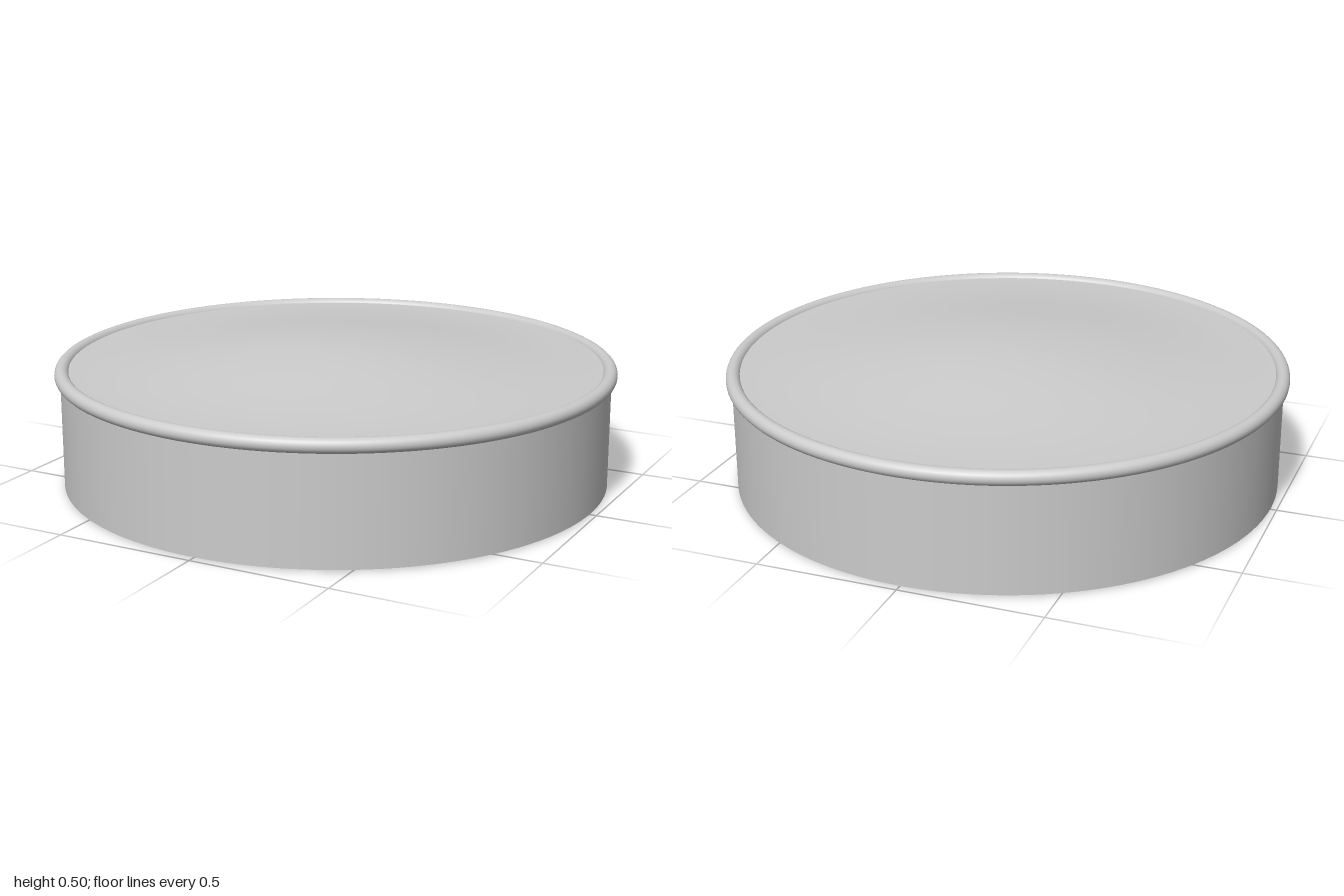
import * as THREE from 'three';

const SEGMENTS = 128;

export function createModel() {
  const group = new THREE.Group();
  const material = new THREE.MeshStandardMaterial({ color: 0xcccccc, side: THREE.DoubleSide });
  const add = (name, geometry, y = 0) => {
    const mesh = new THREE.Mesh(geometry, material);
    mesh.name = name;
    mesh.position.y = y;
    group.add(mesh);
    return mesh;
  };

  // Straight cylindrical side wall
  add('sideWall', new THREE.CylinderGeometry(0.98, 0.98, 0.405, SEGMENTS, 1, true), 0.2075);

  // Nearly flat base, bulging very slightly downward
  const base = [];
  for (let i = 0; i <= 6; i++) {
    const t = i / 6;
    base.push(new THREE.Vector2(0.98 * t, 0.005 * t * t));
  }
  add('base', new THREE.LatheGeometry(base, SEGMENTS));

  // Rounded bead around the top edge
  const rim = add('rim', new THREE.TorusGeometry(0.974, 0.026, 20, SEGMENTS), 0.41);
  rim.rotation.x = Math.PI / 2;

  // Soft domed lid, levelling out where it meets the rim
  const dome = [];
  for (let i = 0; i <= 32; i++) {
    const t = 1 - i / 32;
    dome.push(new THREE.Vector2(0.97 * t, 0.421 + 0.0375 * (1 + Math.cos(Math.PI * t))));
  }
  add('domedTop', new THREE.LatheGeometry(dome, SEGMENTS));

  return group;
}
